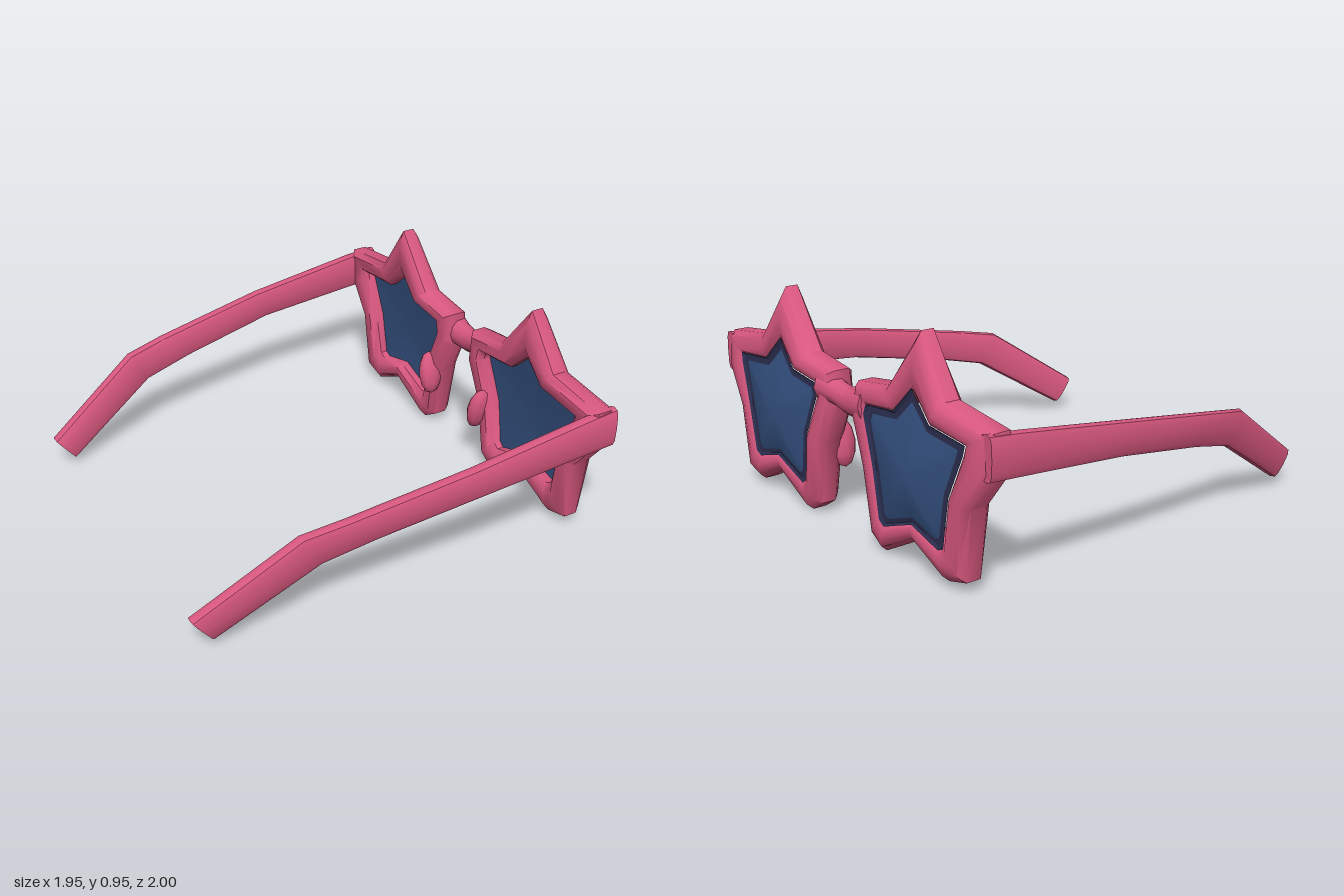
import * as THREE from 'three';
import { toCreasedNormals } from 'three/addons/utils/BufferGeometryUtils.js';

const pink = new THREE.MeshStandardMaterial({ color: 0xd9587f });
pink.name = 'pink plastic';
const blue = new THREE.MeshStandardMaterial({ color: 0x34507f });
blue.name = 'blue lens';
const navy = new THREE.MeshStandardMaterial({ color: 0x2c2f50 });
navy.name = 'dark lens rim';

// Star corners as [z, y], outer edge and lens opening matched one to one
const OUTER = [[0.51, 0.965], [0.68, 0.725], [0.985, 0.685], [0.985, 0.52], [0.86, 0.36], [0.83, 0.06], [0.72, 0.03],
  [0.52, 0.13], [0.29, 0.01], [0.21, 0.06], [0.17, 0.34], [0.08, 0.53], [0.09, 0.68], [0.31, 0.71]];
const INNER = [[0.5, 0.73], [0.62, 0.625], [0.84, 0.605], [0.83, 0.57], [0.76, 0.39], [0.72, 0.18], [0.69, 0.165],
  [0.52, 0.21], [0.32, 0.14], [0.295, 0.16], [0.265, 0.37], [0.185, 0.57], [0.2, 0.605], [0.39, 0.625]];
const CENTER = [0.51, 0.4];

// Skin over closed rings of points
function loft(rings, flip = false, closeEnds = false, crease = 0.8) {
  const pos = [];
  const tri = (a, b, c) => {
    if (a.distanceTo(b) < 1e-6 || b.distanceTo(c) < 1e-6 || a.distanceTo(c) < 1e-6) return;
    for (const p of flip ? [a, c, b] : [a, b, c]) pos.push(p.x, p.y, p.z);
  };
  const n = rings[0].length;
  for (let i = 0; i < rings.length - (closeEnds ? 0 : 1); i++) {
    const r = rings[i], q = rings[(i + 1) % rings.length];
    for (let j = 0; j < n; j++) {
      const k = (j + 1) % n;
      tri(r[j], r[k], q[k]);
      tri(r[j], q[k], q[j]);
    }
  }
  const g = new THREE.BufferGeometry();
  g.setAttribute('position', new THREE.Float32BufferAttribute(pos, 3));
  return toCreasedNormals(g, crease);
}

// Add flat caps to a run of rings
function capped(rings) {
  const hub = r => {
    const c = r.reduce((s, p) => s.add(p), new THREE.Vector3()).divideScalar(r.length);
    return r.map(() => c);
  };
  return [hub(rings[0]), ...rings, hub(rings[rings.length - 1])];
}

function part(parent, name, geometry, material) {
  const m = new THREE.Mesh(geometry, material);
  m.name = name;
  parent.add(m);
  return m;
}

// Star ring: t = 0 outer edge, 1 opening edge, 2 lens centre; d = -1 back, 1 front
function starRing(side, t, d) {
  return OUTER.map((o, i) => {
    const [a, b, f] = t <= 1 ? [o, INNER[i], t] : [INNER[i], CENTER, t - 1];
    const z = a[0] + (b[0] - a[0]) * f, y = a[1] + (b[1] - a[1]) * f;
    const mid = 0.893 - 0.055 * Math.max(0, y - 0.3);
    const half = 0.077 - 0.035 * Math.abs(y - 0.4);
    return new THREE.Vector3(mid + d * half, y, side * z);
  });
}

function starLens(side) {
  const g = new THREE.Group();
  g.name = side > 0 ? 'starLensA' : 'starLensB';
  const ring = ([t, d]) => starRing(side, t, d);
  const flip = side < 0;
  // Puffy frame, open only where the rim sits
  part(g, 'starFrame', loft([[0.95, 0.75], [1, 0.3], [1, -0.6], [0.75, -1], [0.25, -1], [0, -0.6], [0, 0.4],
    [0.2, 0.85], [0.55, 1], [0.85, 0.9], [0.95, 0.75]].map(ring), flip), pink);
  // Dark band round the lens
  part(g, 'lensRim', loft([[0.93, 0.86], [1.02, 0.72], [1.12, 0.76]].map(ring), flip), navy);
  // Domed front and flat back
  part(g, 'lensFront', loft([[1.12, 0.76], [1.4, 0.95], [1.7, 1.08], [2, 1.1]].map(ring), flip), blue);
  part(g, 'lensBack', loft([[1, -0.1], [1.5, 0], [2, 0.05]].map(ring), !flip), blue);
  return g;
}

// Temple stations: upper edge x, y, lower edge x, y, centre z, half thickness
const TEMPLE = [[0.93, 0.685, 0.93, 0.5, 0.967, 0.033], [0.78, 0.67, 0.78, 0.49, 0.965, 0.033],
  [0.22, 0.592, 0.27, 0.45, 0.952, 0.033], [-0.34, 0.5, -0.2, 0.37, 0.895, 0.033],
  [-0.53, 0.465, -0.44, 0.315, 0.863, 0.033], [-0.975, 0.165, -0.88, 0.045, 0.768, 0.035]];

function temple(side) {
  const rings = TEMPLE.map(([xu, yu, xl, yl, z, h]) => Array.from({ length: 12 }, (_, j) => {
    const a = j / 12 * Math.PI * 2;
    const soft = v => Math.sign(v) * Math.pow(Math.abs(v), 0.6);
    const v = (soft(Math.sin(a)) + 1) / 2;
    return new THREE.Vector3(xl + (xu - xl) * v, yl + (yu - yl) * v, side * (z + h * soft(Math.cos(a))));
  }));
  return loft(capped(rings), side < 0);
}

export function createModel() {
  const model = new THREE.Group();
  model.name = 'starSunglasses';

  for (const side of [1, -1]) {
    model.add(starLens(side));
    part(model, 'temple', temple(side), pink);
    // Nose pad behind the inner edge of the star
    const pad = part(model, 'nosePad', new THREE.SphereGeometry(1, 8, 6), pink);
    pad.scale.set(0.065, 0.11, 0.04);
    pad.position.set(0.81, 0.32, side * 0.205);
    pad.rotation.x = side * 0.2;
  }

  // Bridge, waisted in the middle
  const bridge = [[-0.17, 0.595, 0.08, 0.07], [-0.07, 0.575, 0.065, 0.055], [0, 0.572, 0.06, 0.048],
    [0.07, 0.585, 0.055, 0.05], [0.17, 0.6, 0.07, 0.07]];
  part(model, 'bridge', loft(capped(bridge.map(([z, y, ry, rx]) => Array.from({ length: 10 }, (_, j) => {
    const a = j / 10 * Math.PI * 2;
    return new THREE.Vector3(0.89 + rx * Math.cos(a), y + ry * Math.sin(a), z);
  })))), pink);

  // Blue patch on the inside of one temple
  const patch = part(model, 'templePatch', new THREE.BoxGeometry(0.26, 0.07, 0.009), blue);
  patch.position.set(0.64, 0.55, 0.927);
  patch.rotation.set(0, -0.023, 0.14);
  return model;
}
